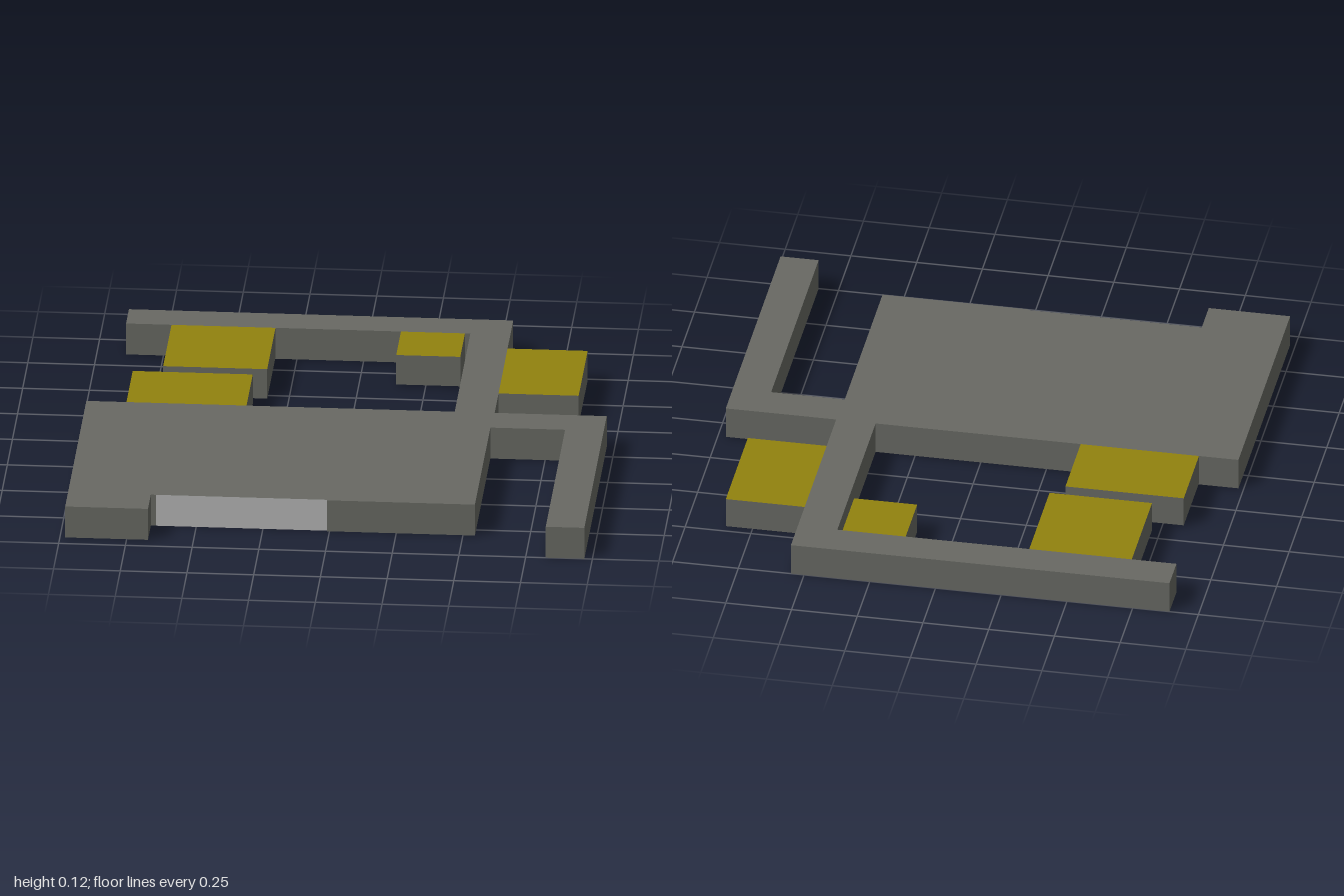
import * as THREE from 'three';

const HEIGHT = 0.125;

function material(name, color) {
  const m = new THREE.MeshStandardMaterial({ color });
  m.name = name;
  return m;
}

export function createModel() {
  const group = new THREE.Group();
  group.name = 'floorPlan';

  const stone = material('dark grey stone', 0x686963);
  const ochre = material('ochre floor', 0x92820e);
  const pale = material('pale grey', 0xb6b5b5);

  // Slab from its plan rectangle; faces can override the top, bottom or front colour
  function slab(name, x0, x1, z0, z1, { top = stone, bottom = stone, front = stone, y0 = 0 } = {}) {
    const geometry = new THREE.BoxGeometry(x1 - x0, HEIGHT - y0, z1 - z0);
    const mesh = new THREE.Mesh(geometry, [stone, stone, top, bottom, front, stone]);
    mesh.position.set((x0 + x1) / 2, (HEIGHT + y0) / 2, (z0 + z1) / 2);
    mesh.name = name;
    group.add(mesh);
  }

  // Corridors
  slab('mainCorridor', -0.98, 0.97, -0.095, 0.05);
  slab('rightEdgeCorridor', -0.98, -0.82, 0.05, 0.80);
  slab('rightFrontFoot', -0.98, -0.67, 0.80, 0.94);
  slab('leftArmCorridor', 0.825, 0.97, 0.05, 1.0);
  slab('connectingCorridor', 0.40, 0.55, -0.86, -0.095);
  slab('backCorridor', -0.89, 0.55, -1.0, -0.86);

  // Large hall in two halves; the strip beside the opening stays dark
  slab('hallEdge', -0.82, -0.65, 0.05, 0.80, { bottom: pale });
  slab('hallRightHalf', -0.65, -0.01, 0.05, 0.80, { bottom: pale, front: pale });
  slab('hallLeftHalf', -0.01, 0.545, 0.05, 0.805, { bottom: pale });

  // Small rooms with ochre tops
  [
    [-0.83, -0.38, -0.40, -0.095],
    [-0.72, -0.33, -0.86, -0.455],
    [0.14, 0.38, -0.86, -0.63],
    [0.55, 0.85, -0.725, -0.285],
  ].forEach((r, i) => slab(`room${i + 1}`, ...r, { top: ochre, y0: 0.006 }));

  return group;
}
